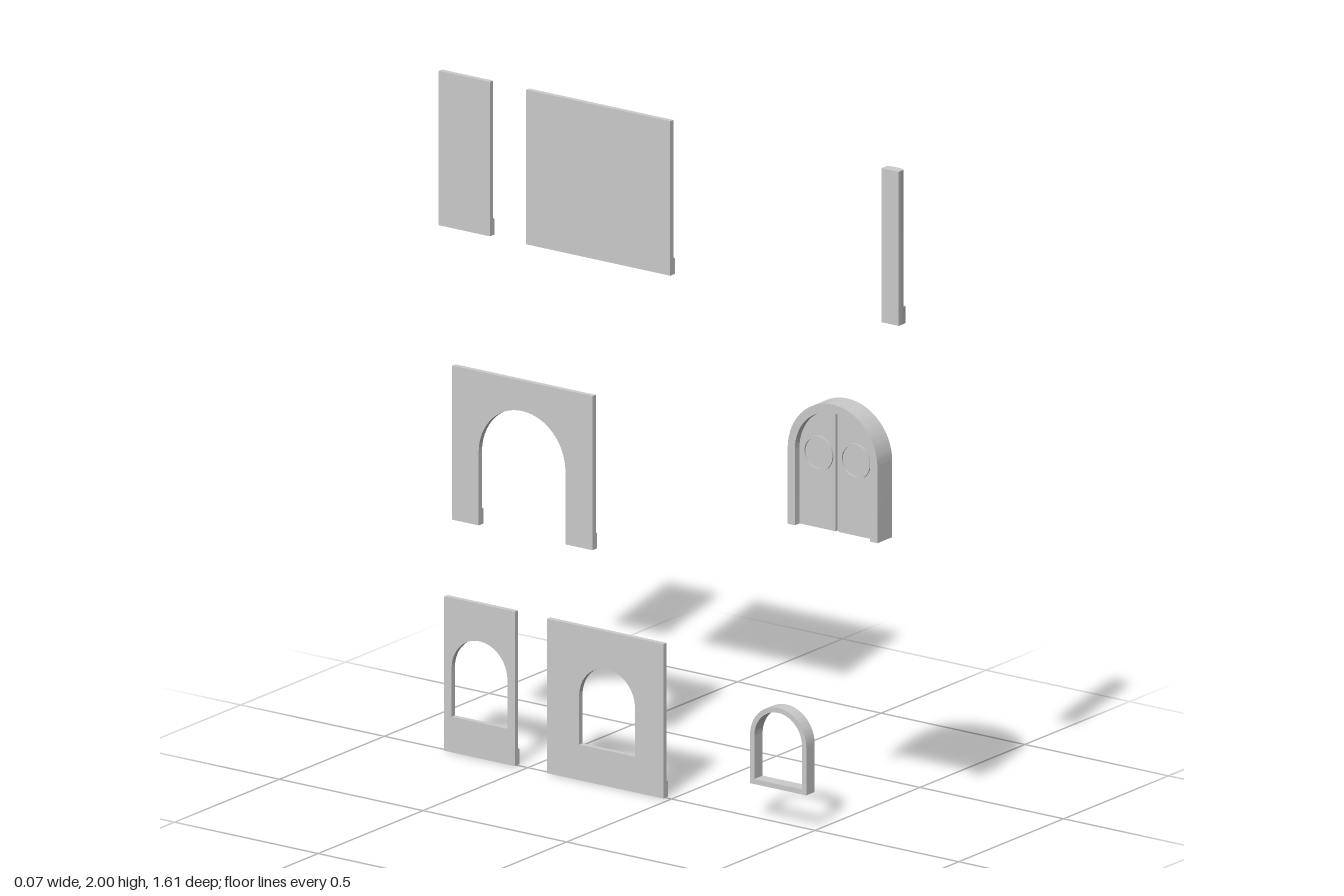
import * as THREE from 'three';
import { toCreasedNormals } from 'three/addons/utils/BufferGeometryUtils.js';

const material = new THREE.MeshStandardMaterial({ color: 0xcccccc });

function mesh(name, geometry) {
  const m = new THREE.Mesh(toCreasedNormals(geometry, 0.5), material);
  m.name = name;
  return m;
}

// Extrude a (-z, y) outline along x, from x0 to x1
function slab(name, shape, x0, x1) {
  const g = new THREE.ExtrudeGeometry(shape, { depth: x1 - x0, bevelEnabled: false, curveSegments: 32 });
  g.translate(0, 0, x0).rotateY(Math.PI / 2);
  return mesh(name, g);
}

// Extrude an (x, y) profile along z, from z0 to z1
function strip(name, points, z0, z1) {
  const shape = new THREE.Shape(points.map(([x, y]) => new THREE.Vector2(x, y)));
  const g = new THREE.ExtrudeGeometry(shape, { depth: z1 - z0, bevelEnabled: false });
  return mesh(name, g.translate(0, 0, z0));
}

// Round-headed outline centred on z = c, standing on y0
function archOutline(target, c, r, y0, spring) {
  target.moveTo(-c - r, y0);
  target.lineTo(-c + r, y0);
  target.lineTo(-c + r, spring);
  target.absarc(-c, spring, r, 0, Math.PI, false);
  target.closePath();
  return target;
}

const WALL_BACK = -0.01, WALL_FRONT = 0.006;

// Skirting along the foot of a wall
function skirting(y, z0, z1) {
  return strip('skirting', [
    [WALL_FRONT - 0.002, y], [0.012, y], [0.012, y + 0.045],
    [WALL_FRONT, y + 0.05], [WALL_FRONT - 0.002, y + 0.05],
  ], z0, z1);
}

// Rectangular wall with an optional arched window
function wall(name, z0, z1, y, opening) {
  const g = new THREE.Group();
  g.name = name;
  const s = new THREE.Shape();
  s.moveTo(-z1, y);
  s.lineTo(-z0, y);
  s.lineTo(-z0, y + 0.455);
  s.lineTo(-z1, y + 0.455);
  s.closePath();
  if (opening !== undefined) s.holes.push(archOutline(new THREE.Path(), opening, 0.097, 0.105, 0.248));
  g.add(slab('panel', s, WALL_BACK, WALL_FRONT), skirting(y, z0, z1));
  return g;
}

// Wall with an archway open to the floor
function archwayWall() {
  const g = new THREE.Group();
  g.name = 'archwayWall';
  const z0 = -0.756, z1 = -0.268, c = -0.513, r = 0.151, y = 0.686;
  const s = new THREE.Shape();
  s.moveTo(-z1, y);
  s.lineTo(-c - r, y);
  s.lineTo(-c - r, 0.9);
  s.absarc(-c, 0.9, r, Math.PI, 0, true);
  s.lineTo(-c + r, y);
  s.lineTo(-z0, y);
  s.lineTo(-z0, 1.14);
  s.lineTo(-z1, 1.14);
  s.closePath();
  g.add(slab('panel', s, WALL_BACK, WALL_FRONT), skirting(y, z0, c - r), skirting(y, c + r, z1));
  return g;
}

// Pillar with a bowed front and a deeper foot
function pillar() {
  const g = new THREE.Group();
  g.name = 'pillar';
  const section = (name, front, y0, y1) => {
    const s = new THREE.Shape();
    s.moveTo(-0.015, -0.03);
    s.lineTo(front - 0.011, -0.03);
    s.absellipse(front - 0.011, 0, 0.011, 0.03, -Math.PI / 2, Math.PI / 2, false);
    s.lineTo(-0.015, 0.03);
    s.closePath();
    const geo = new THREE.ExtrudeGeometry(s, { depth: y1 - y0, bevelEnabled: false, curveSegments: 16 });
    geo.rotateX(-Math.PI / 2).translate(0, y0, 0.772);
    g.add(mesh(name, geo));
  };
  section('shaft', 0.017, 1.596, 2);
  section('foot', 0.026, 1.546, 1.596);
  return g;
}

function windowFrame() {
  const s = archOutline(new THREE.Shape(), 0.386, 0.098, 0.105, 0.247);
  s.holes.push(archOutline(new THREE.Path(), 0.386, 0.083, 0.12, 0.247));
  return slab('windowFrame', s, -0.02, 0.02);
}

// Arched double door in a deep frame
function door() {
  const g = new THREE.Group();
  g.name = 'doubleDoor';
  const c = 0.587, y = 0.9, spring = 1.124, R = 0.156, r = 0.131, gap = 0.005;
  const f = new THREE.Shape();
  f.moveTo(-c + r, y);
  f.lineTo(-c + R, y);
  f.lineTo(-c + R, spring);
  f.absarc(-c, spring, R, 0, Math.PI, false);
  f.lineTo(-c - R, y);
  f.lineTo(-c - r, y);
  f.lineTo(-c - r, spring);
  f.absarc(-c, spring, r, Math.PI, 0, true);
  f.closePath();
  g.add(slab('doorFrame', f, -0.036, 0.035));

  const a = Math.acos(gap / r);
  for (const side of [-1, 1]) {
    // Leaf: half of the arched opening
    const s = new THREE.Shape();
    s.moveTo(-c + side * gap, y);
    s.lineTo(-c + side * r, y);
    s.lineTo(-c + side * r, spring);
    if (side > 0) s.absarc(-c, spring, r, 0, a, false);
    else s.absarc(-c, spring, r, Math.PI, Math.PI - a, true);
    s.closePath();
    g.add(slab('doorLeaf', s, -0.014, 0.014));

    // Flat ring standing out on both faces of the leaf
    const ring = new THREE.Shape().absarc(-c + side * 0.065, 1.12, 0.052, 0, Math.PI * 2, false);
    ring.holes.push(new THREE.Path().absarc(-c + side * 0.065, 1.12, 0.045, 0, Math.PI * 2, true));
    g.add(slab('doorRing', ring, -0.019, 0.019));
  }
  // Recessed strip between the leaves
  g.add(strip('doorSeam', [[-0.006, y], [0.006, y], [0.006, spring + r], [-0.006, spring + r]], c - gap, c + gap));
  return g;
}

export function createModel() {
  const model = new THREE.Group();
  model.name = 'wallKit';
  model.add(
    wall('wideWall', -0.5, 0.003, 1.545),
    wall('narrowWall', -0.803, -0.625, 1.545),
    wall('wideWindowWall', -0.426, -0.021, 0, -0.217),
    wall('narrowWindowWall', -0.784, -0.538, 0, -0.661),
    archwayWall(),
    pillar(),
    windowFrame(),
    door(),
  );
  return model;
}
